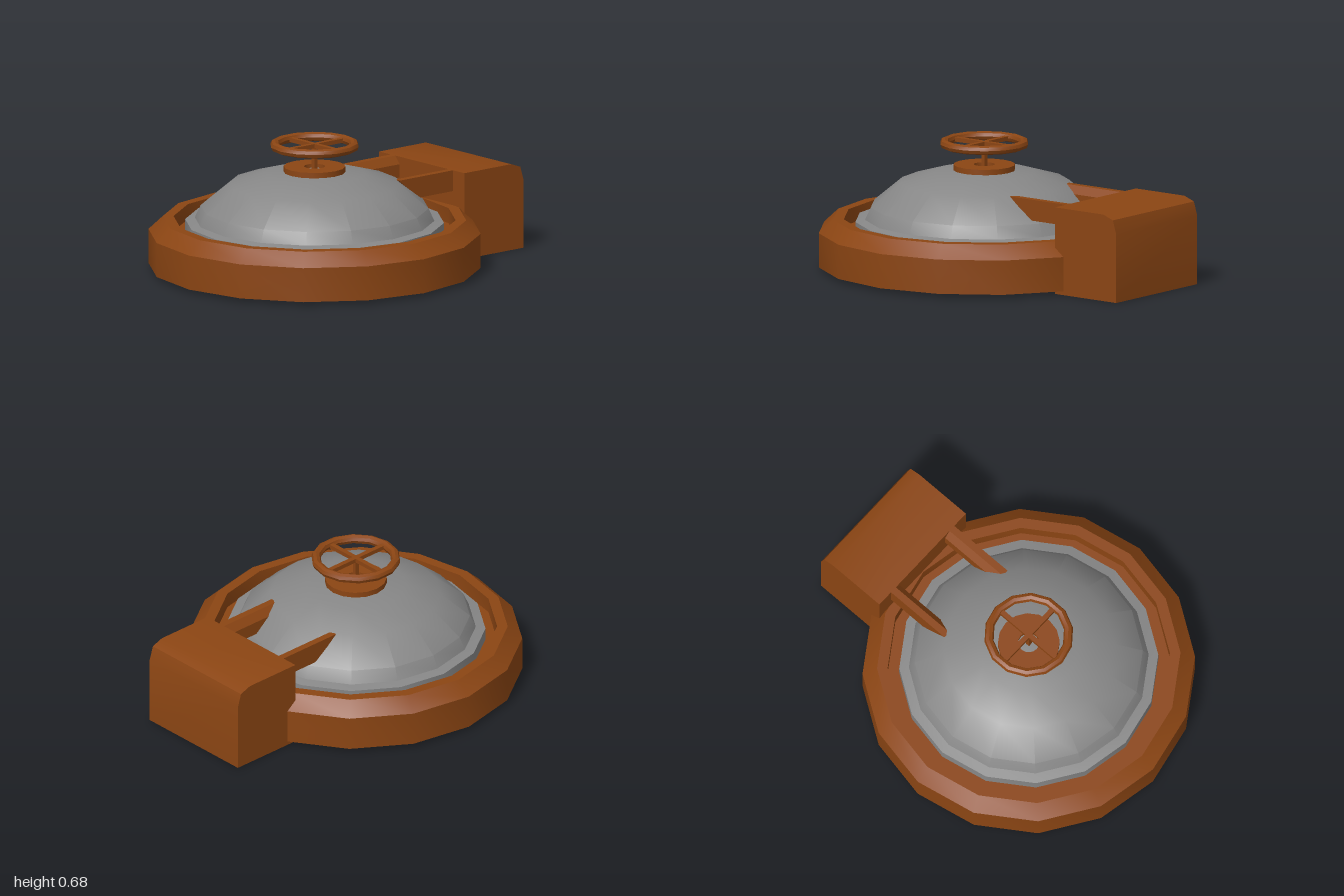
import * as THREE from 'three';
import { toCreasedNormals } from 'three/addons/utils/BufferGeometryUtils.js';

const CX = -0.14; // axis of the round hatch

export function createModel() {
  const group = new THREE.Group();
  const rust = new THREE.MeshStandardMaterial({ color: 0x8b4513 });
  rust.name = 'rustBrown';
  const steel = new THREE.MeshStandardMaterial({ color: 0x878787 });
  steel.name = 'steelGrey';

  const add = (name, geometry, material, x = 0, y = 0, z = 0) => {
    const mesh = new THREE.Mesh(toCreasedNormals(geometry, 0.5), material);
    mesh.name = name;
    mesh.position.set(x, y, z);
    group.add(mesh);
    return mesh;
  };
  const lathe = (points, sides = 16) =>
    new THREE.LatheGeometry(points.map(([r, y]) => new THREE.Vector2(r, y)), sides);

  // Base ring with chamfered rim and a groove around the lid
  add('baseRing', lathe([
    [0, 0.02], [0.86, 0.02], [0.86, 0.2], [0.785, 0.27], [0.73, 0.27], [0.73, 0.19], [0.65, 0.19],
  ]), rust, CX);

  // Domed lid with a narrow ledge
  add('domeLid', lathe([
    [0.67, 0.17], [0.67, 0.255], [0.62, 0.265], [0.59, 0.33], [0.44, 0.455], [0.26, 0.508], [0, 0.53],
  ]), steel, CX);

  // Raised collar under the wheel
  add('wheelCollar', lathe([
    [0.16, 0.48], [0.16, 0.545], [0.055, 0.545], [0.055, 0.48],
  ]), rust, CX);

  // Hand wheel: post, crossed spokes and rim
  add('wheelPost', new THREE.BoxGeometry(0.022, 0.15, 0.022), rust, CX, 0.585);
  for (const turn of [0, Math.PI / 2]) {
    add('wheelSpoke', new THREE.BoxGeometry(0.4, 0.022, 0.026), rust, CX, 0.655).rotation.y = turn;
  }
  const rim = new THREE.TorusGeometry(0.208, 0.024, 8, 14);
  rim.rotateX(Math.PI / 2);
  add('wheelRim', rim, rust, CX, 0.656);

  // Hinge housing, side profile extruded along z
  const side = new THREE.Shape([
    [0.595, 0], [1, 0], [1, 0.36], [0.978, 0.432], [0.915, 0.455], [0.595, 0.455],
  ].map(([x, y]) => new THREE.Vector2(x, y)));
  add('hingeHousing', new THREE.ExtrudeGeometry(side, { depth: 0.67, bevelEnabled: false }),
    rust, 0, 0, -0.335);

  // Hinge arms: section chamfered on the inner top edge, with a slanted tip
  for (const s of [1, -1]) {
    const section = new THREE.Shape([
      [-0.245, 0.345], [-0.175, 0.345], [-0.175, 0.415], [-0.208, 0.455], [-0.245, 0.455],
    ].map(([z, y]) => new THREE.Vector2(s * z, y)));
    const arm = new THREE.ExtrudeGeometry(section, { depth: 0.4, bevelEnabled: false });
    arm.rotateY(Math.PI / 2); // length now runs along +x
    const p = arm.attributes.position;
    for (let i = 0; i < p.count; i++) {
      p.setX(i, p.getX(i) > 0.2 ? 0.6 : 0.225 + (0.455 - p.getY(i)) * 1.23);
    }
    add(s > 0 ? 'hingeArmLeft' : 'hingeArmRight', arm, rust);
  }
  return group;
}
